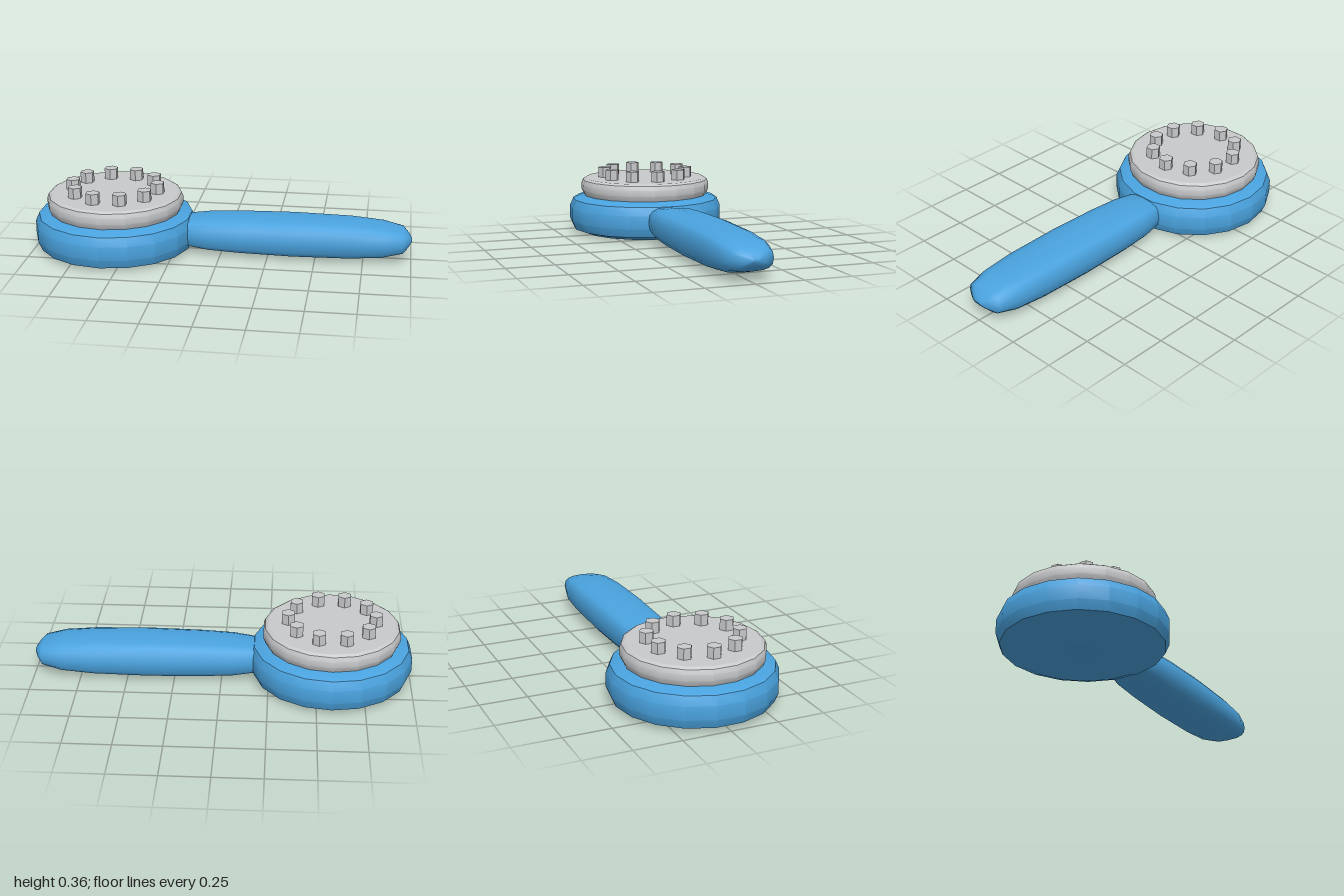
import * as THREE from 'three';
import { toCreasedNormals } from 'three/addons/utils/BufferGeometryUtils.js';

const HEAD_X = -0.577;

// Turned part with 18 sides and sharp rims
function turned(name, profile, material) {
  const points = profile.map(([r, y]) => new THREE.Vector2(r, y));
  const mesh = new THREE.Mesh(toCreasedNormals(new THREE.LatheGeometry(points, 18), 0.45), material);
  mesh.name = name;
  mesh.position.x = HEAD_X;
  return mesh;
}

// Smooth bar along x lofted from rounded-box sections [x, half height, half width]
function loft(sections, centreY, sides) {
  const positions = [], index = [];
  const round = (v) => Math.sign(v) * Math.abs(v) ** 0.68;
  for (const [x, h, w] of sections) {
    for (let j = 0; j < sides; j++) {
      const a = (j / sides) * Math.PI * 2;
      positions.push(x, centreY + h * round(Math.cos(a)), w * round(Math.sin(a)));
    }
  }
  const last = sections.length - 1;
  for (let i = 0; i < last; i++) {
    for (let j = 0; j < sides; j++) {
      const k = (j + 1) % sides;
      const a = i * sides + j, b = i * sides + k;
      index.push(a, b, a + sides, b, b + sides, a + sides);
    }
  }
  // End caps
  for (let j = 1; j < sides - 1; j++) {
    index.push(0, j + 1, j);
    index.push(last * sides, last * sides + j, last * sides + j + 1);
  }
  const geometry = new THREE.BufferGeometry();
  geometry.setAttribute('position', new THREE.Float32BufferAttribute(positions, 3));
  geometry.setIndex(index);
  geometry.computeVertexNormals();
  return geometry;
}

export function createModel() {
  const model = new THREE.Group();
  model.name = 'brush';
  const blue = new THREE.MeshStandardMaterial({ color: 0x4aa3df });
  blue.name = 'blue plastic';
  const grey = new THREE.MeshStandardMaterial({ color: 0xc8c9cb });
  grey.name = 'light grey';

  // Round head and the pad on top of it
  model.add(turned('head', [
    [0, 0], [0.352, 0], [0.41, 0.022], [0.43, 0.07], [0.43, 0.142], [0.41, 0.188], [0.35, 0.21], [0, 0.21],
  ], blue));
  model.add(turned('pad', [
    [0, 0.2], [0.345, 0.2], [0.354, 0.218], [0.363, 0.24], [0.363, 0.272], [0.354, 0.295], [0.338, 0.305], [0, 0.305],
  ], grey));

  // Handle, swelling in the middle with a blunt tip
  const handle = new THREE.Mesh(loft([
    [-0.3, 0.055, 0.08], [-0.17, 0.078, 0.117], [-0.06, 0.09, 0.138], [0.1, 0.097, 0.147],
    [0.38, 0.102, 0.152], [0.68, 0.097, 0.148], [0.85, 0.083, 0.138], [0.955, 0.058, 0.112],
    [0.985, 0.03, 0.06], [1.0, 0.008, 0.02],
  ], 0.108, 16), blue);
  handle.name = 'handle';
  model.add(handle);

  // Ring of ten six-sided bristles
  const bristleGeometry = toCreasedNormals(new THREE.CylinderGeometry(0.038, 0.038, 0.062, 6), 0.5);
  const bristles = new THREE.Group();
  bristles.name = 'bristles';
  for (let i = 0; i < 10; i++) {
    const a = (i / 10) * Math.PI * 2;
    const bristle = new THREE.Mesh(bristleGeometry, grey);
    bristle.name = 'bristle';
    bristle.position.set(HEAD_X + 0.229 * Math.cos(a), 0.331, 0.229 * Math.sin(a));
    bristles.add(bristle);
  }
  model.add(bristles);
  return model;
}
